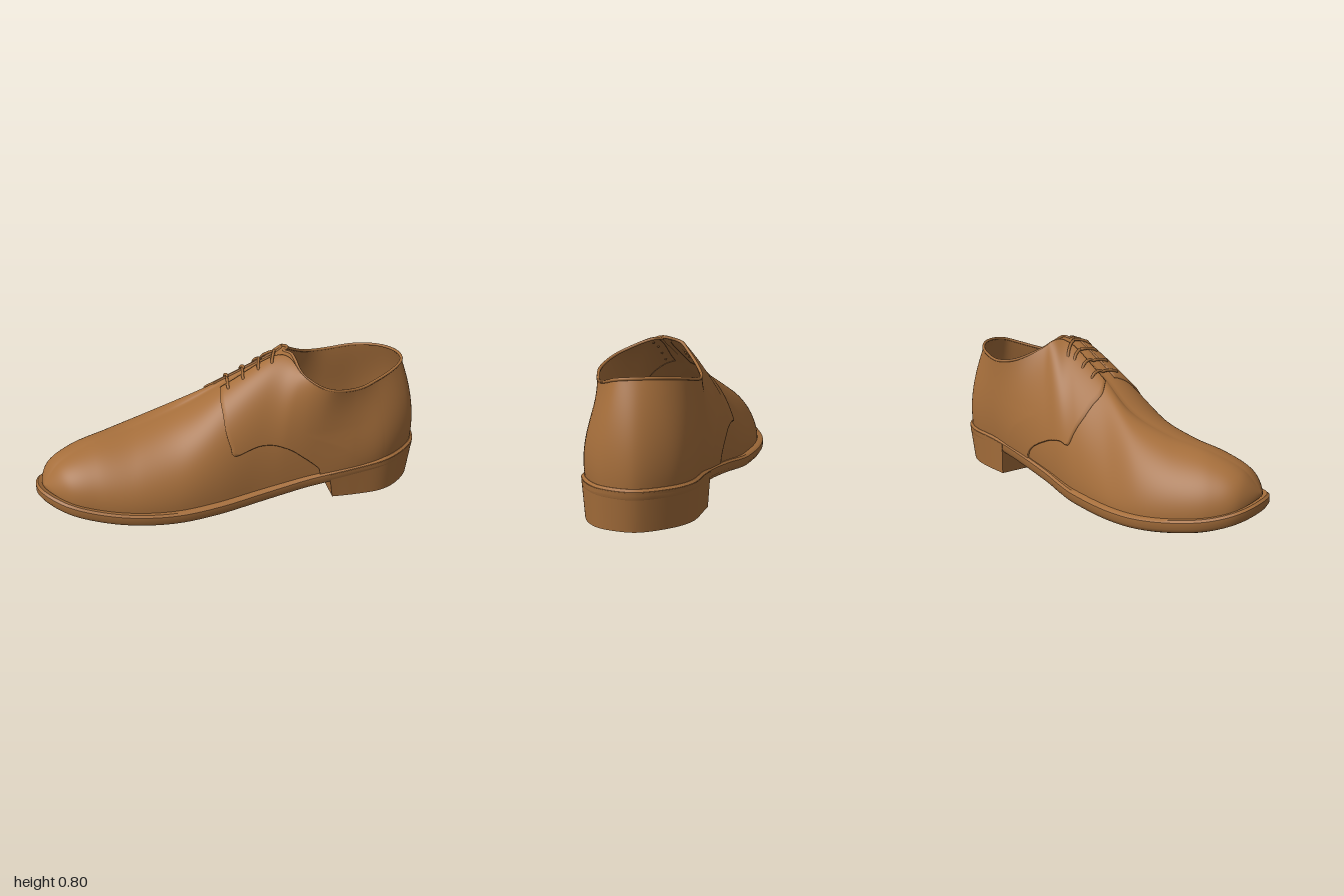
import * as THREE from 'three';
import { mergeGeometries, mergeVertices, toCreasedNormals } from 'three/addons/utils/BufferGeometryUtils.js';

// Stations run from the heel (0) to the toe (13); station 7 is the throat.
const THROAT = 7, TOE = 13;
// sole outline per station: right x, z, left x, z
const OUTLINE = [
  [0.38, -1.0, 0.38, -1.0], [0.21, -0.965, 0.51, -0.92], [0.09, -0.87, 0.57, -0.8],
  [0.0, -0.69, 0.585, -0.63], [-0.095, -0.5, 0.525, -0.45], [-0.23, -0.25, 0.425, -0.24],
  [-0.315, -0.12, 0.37, -0.1], [-0.39, 0.0, 0.325, 0.04], [-0.51, 0.22, 0.27, 0.25],
  [-0.575, 0.41, 0.2, 0.46], [-0.587, 0.6, 0.11, 0.65], [-0.56, 0.78, 0.0, 0.81],
  [-0.48, 0.92, -0.13, 0.94], [-0.31, 0.995, -0.31, 0.995],
];
// collar rim per station: right x, y, z, left x, y, z
const RIM = [
  [0.35, 0.7, -0.885, 0.35, 0.7, -0.885], [0.23, 0.695, -0.865, 0.44, 0.692, -0.85],
  [0.11, 0.675, -0.79, 0.474, 0.67, -0.77], [0.02, 0.65, -0.66, 0.485, 0.643, -0.63],
  [0.0, 0.67, -0.52, 0.485, 0.63, -0.48], [0.03, 0.74, -0.37, 0.452, 0.66, -0.31],
  [0.06, 0.775, -0.32, 0.335, 0.722, -0.235],
];
// ridge from throat to toe: x, y, z
const RIDGE = [
  [0.14, 0.785, -0.265], [0.0, 0.64, -0.015], [-0.14, 0.488, 0.21], [-0.225, 0.405, 0.45],
  [-0.28, 0.362, 0.69], [-0.305, 0.295, 0.87], [-0.31, 0.19, 0.965],
];
// per station: right then left welt height, slope at the top, low and high fullness
const FORM = [
  [0.225, 0.2, 0.42, 0.4, 0.225, 0.2, 0.42, 0.4], [0.222, 0.22, 0.42, 0.42, 0.222, 0.22, 0.42, 0.42],
  [0.215, 0.3, 0.4, 0.45, 0.215, 0.3, 0.4, 0.45], [0.2, 0.34, 0.4, 0.45, 0.205, 0.34, 0.4, 0.45],
  [0.172, 0.33, 0.4, 0.4, 0.185, 0.33, 0.4, 0.44], [0.125, 0.25, 0.38, 0.35, 0.15, 0.25, 0.43, 0.45],
  [0.1, 0.14, 0.34, 0.3, 0.125, 0.12, 0.5, 0.5], [0.084, 0.06, 0.3, 0.3, 0.105, 0.0, 0.55, 0.5],
  [0.076, 0.03, 0.24, 0.25, 0.085, -0.02, 0.53, 0.5], [0.077, 0, 0.4, 0.39, 0.077, 0, 0.52, 0.5],
  [0.09, 0, 0.51, 0.46, 0.09, 0, 0.54, 0.52], [0.115, 0, 0.54, 0.5, 0.115, 0, 0.55, 0.54],
  [0.152, 0, 0.55, 0.55, 0.152, 0, 0.55, 0.55], [0.18, 0, 0.5, 0.5, 0.18, 0, 0.5, 0.5],
];

const ROWS = [0, 1].map(side => OUTLINE.map((o, i) => [
  ...o.slice(side * 2, side * 2 + 2),
  ...(i < THROAT ? RIM[i].slice(side * 3, side * 3 + 3) : RIDGE[i - THROAT]),
  ...FORM[i].slice(side * 4, side * 4 + 4),
]));

const { clamp, lerp, smoothstep } = THREE.MathUtils;

// smooth interpolation between stations; the two sides join at heel and toe
function rowAt(side, s) {
  const i = clamp(Math.floor(s), 0, TOE - 1), f = s - i;
  const key = j => (j < 0 ? ROWS[1 - side][1] : j > TOE ? ROWS[1 - side][TOE - 1] : ROWS[side][j]);
  const [a, b, c, d] = [key(i - 1), key(i), key(i + 1), key(i + 2)];
  return b.map((_, k) => b[k] + 0.5 * f * (c[k] - a[k]
    + f * (2 * a[k] - 5 * b[k] + 4 * c[k] - d[k] + f * (3 * (b[k] - c[k]) + d[k] - a[k]))));
}

function outward(side, s) {
  const p = rowAt(side, s - 0.01), q = rowAt(side, s + 0.01);
  const v = new THREE.Vector3(-(q[1] - p[1]), 0, q[0] - p[0]).normalize();
  return side ? v.negate() : v;
}

// point on the sole outline, moved inwards by inset
function edge(side, s, inset, dy) {
  const r = rowAt(side, s);
  return new THREE.Vector3(r[0], r[5] + dy, r[1]).addScaledVector(outward(side, s), -inset);
}

// point on the upper: t = 0 at the welt, 1 at rim or ridge
function upperPoint(side, s, t) {
  const [, , x, y, z, , slope, fullLow, fullHigh] = rowAt(side, s);
  const front = smoothstep(s, 3, 8);
  const base = edge(side, s, 0.015 + 0.018 * front, -0.005);
  const top = new THREE.Vector3(x, y, z);
  const h = top.y - base.y;
  const low = base.clone().addScaledVector(outward(side, s), 0.02 * (1 - front));
  low.y += fullLow * h;
  const high = top.clone().lerp(base, fullHigh);
  high.y = top.y - slope * h;
  return new THREE.CubicBezierCurve3(base, low, high, top).getPoint(t);
}

function raised(side, s, t, offset) {
  const e = 0.01, s0 = clamp(s, e, TOE - e), t0 = clamp(t, e, 1 - e);
  const ds = upperPoint(side, s0 + e, t0).sub(upperPoint(side, s0 - e, t0));
  const dt = upperPoint(side, s0, t0 + e).sub(upperPoint(side, s0, t0 - e));
  const n = ds.cross(dt).normalize().multiplyScalar(side ? -offset : offset);
  return upperPoint(side, s, t).add(n);
}

// surface grid from a point function
function grid(nu, nv, fn) {
  const pos = [], index = [];
  for (let i = 0; i <= nu; i++) for (let j = 0; j <= nv; j++) {
    pos.push(...fn(i / nu, j / nv).toArray());
    if (i < nu && j < nv) {
      const a = i * (nv + 1) + j, b = a + nv + 1;
      index.push(a, b, a + 1, b, b + 1, a + 1);
    }
  }
  const g = new THREE.BufferGeometry();
  g.setAttribute('position', new THREE.Float32BufferAttribute(pos, 3));
  g.setIndex(index);
  g.computeVertexNormals();
  return g;
}

// closed cross-sections swept from heel to toe
function loft(n, section) {
  const rings = Array.from({ length: n + 1 }, (_, i) => section(i / n));
  const m = rings[0].length;
  const g = grid(n, m, (u, v) => rings[Math.round(u * n)][Math.round(v * m) % m]);
  return toCreasedNormals(g, 0.7);
}

// front edge of each lace panel as (t, station) points
const PANEL_EDGES = [
  [[0, 4.4], [0.07, 4.45], [0.14, 4.6], [0.2, 4.85], [0.245, 5.2], [0.265, 5.6], [0.275, 6.0], [0.28, 6.5],
    [0.36, 6.85], [0.5, 7.3], [0.65, 7.65], [0.82, 8.0], [1, 8.15]],
  [[0, 4.75], [0.07, 4.8], [0.14, 5.0], [0.2, 5.3], [0.245, 5.7], [0.265, 6.2], [0.275, 6.9], [0.28, 7.6],
    [0.36, 7.75], [0.5, 7.9], [0.65, 8.0], [0.82, 8.1], [1, 8.15]],
].map(pts => new THREE.SplineCurve(pts.map(p => new THREE.Vector2(...p))));

export function createModel() {
  const shoe = new THREE.Group();
  shoe.name = 'shoe';
  const leather = new THREE.MeshStandardMaterial({ color: 0xa56e3b, side: THREE.DoubleSide });
  leather.name = 'brown leather';
  const add = (name, geometry) => {
    const mesh = new THREE.Mesh(geometry, leather);
    mesh.name = name;
    shoe.add(mesh);
  };

  // upper: both sides welded at the heel and along the ridge
  const sides = [0, 1].map(side => {
    const g = grid(130, 28, (u, v) => upperPoint(side, u * TOE, v));
    if (side) g.setIndex([...g.index.array].reverse());
    return g.deleteAttribute('normal');
  });
  const upper = mergeVertices(mergeGeometries(sides), 1e-4);
  upper.computeVertexNormals();
  add('upper', upper);

  // quarters: raised lace panels with a turned-down edge
  [0, 1].forEach(side => {
    add(side ? 'leftQuarter' : 'rightQuarter', grid(60, 97, (u, v) => {
      const w = Math.min(1, v * 97 / 96), a = Math.min(1, u * 60 / 59);
      const border = PANEL_EDGES[side].getPoint(w);
      const s = 3 + (border.y - 3) * a;
      const t = lerp(w, border.x, a) * (1 - 0.1 * smoothstep(s, 6, 7));
      const atEdge = u === 1 || v === 1;
      return raised(side, s, t, atEdge ? -0.003 : 0.001 + 0.008 * Math.min(1, a * 2));
    }));
  });

  // rolled collar edge
  const rim = [];
  for (let s = 0; s < THROAT; s += 0.25) rim.push(upperPoint(0, s, 1));
  for (let s = THROAT; s > 0; s -= 0.25) rim.push(upperPoint(1, s, 1));
  add('collar', new THREE.TubeGeometry(new THREE.CatmullRomCurve3(rim, true), 140, 0.008, 8, true));

  // laces, running square across the slanted ridge
  for (let k = 0; k < 4; k++) {
    const s = 7.2 + k * 0.28, pts = [];
    for (let j = -6; j <= 6; j++) {
      const t = 1 - Math.abs(j) / 6 * (j < 0 ? 0.24 : 0.2);
      const lift = Math.abs(j) === 6 ? 0 : 0.014;
      pts.push(raised(j < 0 ? 0 : 1, s + j * (j < 0 ? 0.06 : -0.015), t, lift));
    }
    add('lace' + (k + 1), new THREE.TubeGeometry(new THREE.CatmullRomCurve3(pts), 32, 0.008, 8));
  }

  // insole
  add('insole', grid(60, 6, (u, v) => edge(0, u * 10, 0.06, 0.03).lerp(edge(1, u * 10, 0.06, 0.03), v)));

  // sole with rounded welt
  const rib = [[0.012, 0], [0, -0.01], [0, -0.042], [0.012, -0.062], [0.04, -0.074]];
  add('sole', loft(130, u => [
    ...rib.map(([d, y]) => edge(0, u * TOE, d, y)),
    ...rib.map(([d, y]) => edge(1, u * TOE, d, y)).reverse(),
  ]));

  // heel block, tapering downwards, with an oblique front face
  const foot = (side, s) => {
    const p = edge(side, s, 0, 0);
    return new THREE.Vector3(0.27 + (p.x - 0.27) * 0.96, 0.018 * smoothstep(-p.z, 0.7, 1), -0.7 + (p.z + 0.7) * 0.9);
  };
  const heelSection = u => [
    edge(0, u * 3.45, -0.002, -0.012), foot(0, u * 3.45), foot(1, u * 4.55), edge(1, u * 4.55, -0.002, -0.012),
  ];
  add('heel', loft(50, heelSection));
  const [a, b, c, d] = heelSection(1);
  add('heelFront', grid(1, 1, (u, v) => (u ? (v ? c : d) : (v ? b : a))));

  return shoe;
}
